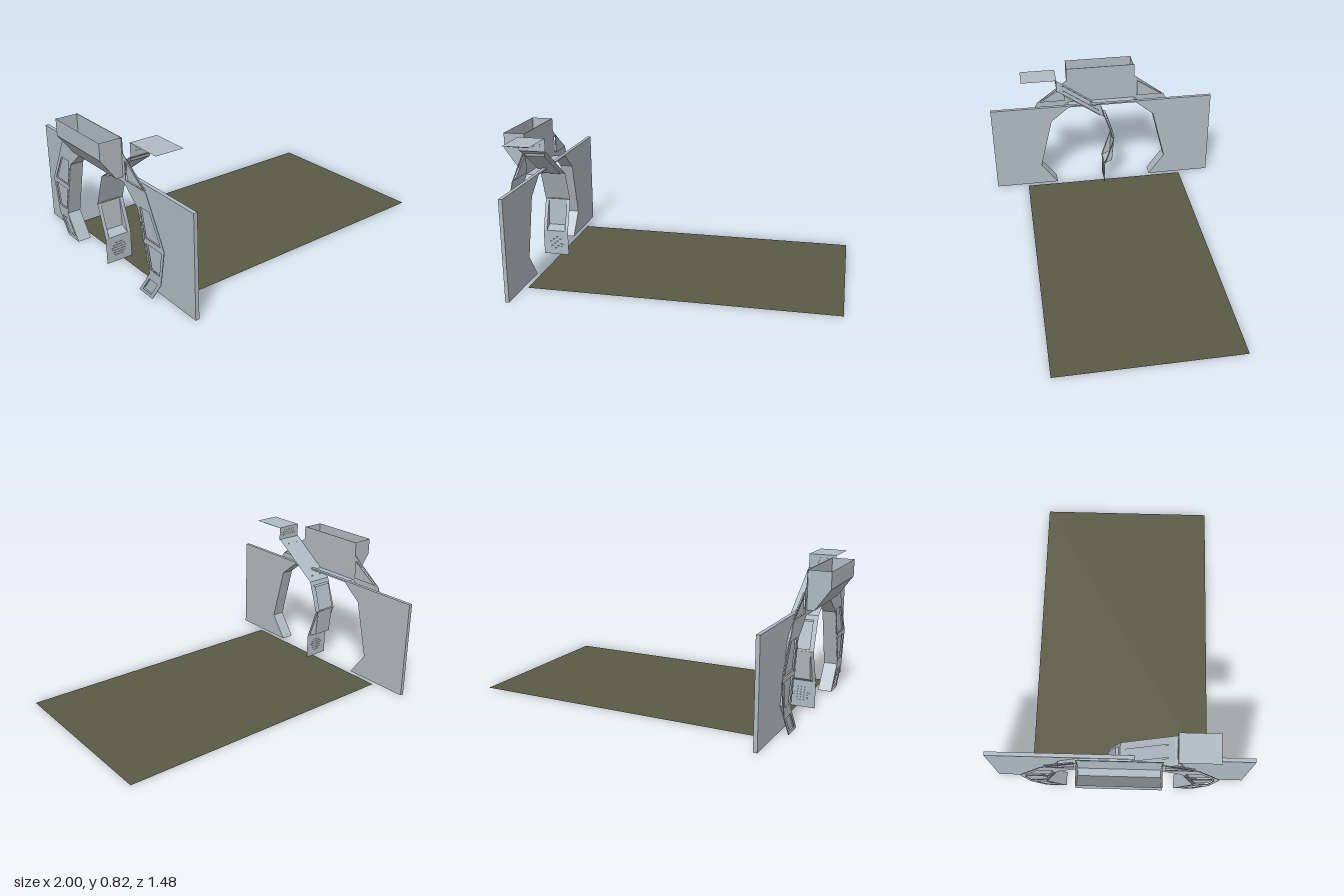
import * as THREE from 'three';

export function createModel() {
  const root = new THREE.Group();
  const steel = new THREE.MeshStandardMaterial({ color: 0xb0bac2, side: THREE.DoubleSide, flatShading: true });
  steel.name = 'pale steel';
  const olive = new THREE.MeshStandardMaterial({ color: 0x5a5a46, side: THREE.DoubleSide });
  olive.name = 'olive floor';

  const add = (name, geo, mat = steel, parent = root) => {
    const m = new THREE.Mesh(geo, mat);
    m.name = name;
    parent.add(m);
    return m;
  };
  const group = (name) => {
    const g = new THREE.Group();
    g.name = name;
    root.add(g);
    return g;
  };
  const vecs = (pts) => pts.map(([a, b]) => new THREE.Vector2(a, b));
  const flip = (pts) => pts.map(([z, y]) => [-z, y]).reverse();

  // Plate lying in the z-y plane, from x = xFront back by depth
  const plate = (pts, xFront, depth, holes = []) => {
    const s = new THREE.Shape(vecs(pts));
    holes.forEach((h) => s.holes.push(new THREE.Path(vecs(h))));
    const g = new THREE.ExtrudeGeometry(s, { depth, bevelEnabled: false });
    g.rotateY(-Math.PI / 2);
    g.translate(xFront, 0, 0);
    return g;
  };

  // Bent sheet following a z-y path across x0..x1
  const sheet = (path, x0, x1) => {
    const pos = [];
    for (let i = 0; i < path.length - 1; i++) {
      const [za, ya] = path[i], [zb, yb] = path[i + 1];
      pos.push(x0, ya, za, x1, ya, za, x1, yb, zb, x0, ya, za, x1, yb, zb, x0, yb, zb);
    }
    const g = new THREE.BufferGeometry();
    g.setAttribute('position', new THREE.Float32BufferAttribute(pos, 3));
    g.computeVertexNormals();
    return g;
  };

  const X0 = -0.875, X1 = -0.715;

  // Floor
  const floor = new THREE.PlaneGeometry(1.77, 1.07);
  floor.rotateX(-Math.PI / 2);
  floor.translate(0.115, 0, -0.003);
  add('floor', floor, olive);

  // Wall with the arched opening
  const arch = [[0.325, 0], [0.43, 0.145], [0.345, 0.485], [0.225, 0.583]];
  const archFull = [...arch, ...flip(arch)];
  add('wall', plate([[0.742, 0], [0.742, 0.592], [-0.742, 0.592], [-0.742, 0], ...[...archFull].reverse()],
    -0.795, 0.022));

  // Lining through the opening, back to the rear frame
  add('archLining', sheet(archFull, X0, -0.815));

  // Rear frame with recessed panels
  const outer = [[0.445, 0], [0.53, 0.12], [0.57, 0.33], [0.43, 0.592], [0.228, 0.742], [0.228, 0.825]];
  const panels = [
    [[0.41, 0.6], [0.245, 0.71], [0.245, 0.6]],
    [[0.44, 0.17], [0.52, 0.17], [0.545, 0.31], [0.41, 0.31]],
    [[0.4, 0.34], [0.54, 0.34], [0.45, 0.5], [0.365, 0.5]],
    [[0.36, 0.02], [0.435, 0.02], [0.5, 0.11], [0.425, 0.11]],
  ];
  const allPanels = [...panels, ...panels.map(flip)];
  const frame = group('rearFrame');
  add('rearFramePlate', plate([...outer, ...flip(outer), ...[...archFull].reverse()], -0.871, 0.004, allPanels),
    steel, frame);
  allPanels.forEach((p) => add('rearFramePanel', plate(p, -0.86, 0.006), steel, frame));

  // Studs along the inner edge of the rear frame legs
  for (const side of [-1, 1]) {
    for (let i = 1; i < 9; i++) {
      const t = i / 9;
      const stud = new THREE.BoxGeometry(0.006, 0.018, 0.012);
      stud.translate(-0.875, 0.145 + 0.34 * t, side * (0.438 - 0.085 * t));
      add('stud', stud, steel, frame);
    }
  }

  // Open-topped trough behind the arch
  const trough = group('trough');
  const W = 0.222;
  const troughPts = [[-1, 0.825], [-1, 0.73], [-0.915, 0.612], [X0, 0.612], [X0, 0.825]];
  for (const z of [-W, W]) {
    const end = new THREE.ShapeGeometry(new THREE.Shape(vecs(troughPts)));
    end.translate(0, 0, z);
    add('troughEnd', end, steel, trough);
  }
  // The sheet runs along z, so turn its path a quarter turn about y
  const shell = sheet(troughPts.slice(0, 4), -W, W);
  shell.rotateY(Math.PI / 2);
  shell.scale(1, 1, -1);
  add('troughShell', shell, steel, trough);

  // Bent service panel: foot, bulging middle, slope and flat cap
  const service = group('servicePanel');
  const HX0 = -0.855, HX1 = -0.735;
  add('panelFoot', sheet([[0, 0], [0, 0.155]], X0, X1), steel, service);
  add('panelMiddle', sheet([[-0.065, 0.345], [0, 0.535]], X0, X1), steel, service);
  add('panelCap', sheet([[0.29, 0.74], [0.305, 0.745], [0.305, 0.825], [0.53, 0.825]], X0, X1), steel, service);
  add('capInset', sheet([[0.51, 0.824], [0.5, 0.815], [0.345, 0.815], [0.335, 0.824]], HX0, HX1), steel, service);

  // Lower recess: side borders, cheeks and sunken back
  const lower = [[0, 0.155], [-0.065, 0.345]];
  add('recessBorder', sheet(lower, X0, HX0), steel, service);
  add('recessBorder', sheet(lower, HX1, X1), steel, service);
  add('recessBack', sheet([[0, 0.155], [-0.053, 0.18], [-0.068, 0.345]], HX0, HX1), steel, service);
  for (const x of [HX0, HX1]) {
    add('recessCheek', plate([[0, 0.155], [-0.065, 0.345], [-0.053, 0.18]], x + 0.001, 0.002), steel, service);
  }

  // Slim raised trays on the middle and sloping sections
  add('middleTray', sheet([[-0.055, 0.35], [-0.072, 0.355], [-0.026, 0.505], [-0.01, 0.51]], HX0, HX1), steel, service);
  add('slopeSheet', sheet([[0, 0.535], [0.29, 0.74]], X0, X1), steel, service);
  add('slopeTray', sheet([[0.015, 0.545], [0.027, 0.538], [0.265, 0.706], [0.268, 0.722]], HX0, HX1), steel, service);
  for (const x of [-0.83, -0.76]) {
    add('slopeRib', sheet([[0.03, 0.556], [0.03, 0.564], [0.26, 0.727], [0.26, 0.719]], x - 0.005, x + 0.005),
      steel, service);
  }

  // Louvred vents on the foot and on the upright
  const vent = (name, y0, y1, z, widths) => widths.forEach((w, i) => {
    const g = new THREE.BoxGeometry(w, 0.45 * (y1 - y0) / widths.length, 0.005);
    g.translate(-0.795, y0 + (y1 - y0) * (i + 0.5) / widths.length, z);
    add(name, g, steel, service);
  });
  vent('footVent', 0.03, 0.12, 0, [0.05, 0.07, 0.09, 0.09, 0.07, 0.05]);
  vent('upperVent', 0.765, 0.81, 0.305, [0.1, 0.1, 0.1]);

  return root;
}
